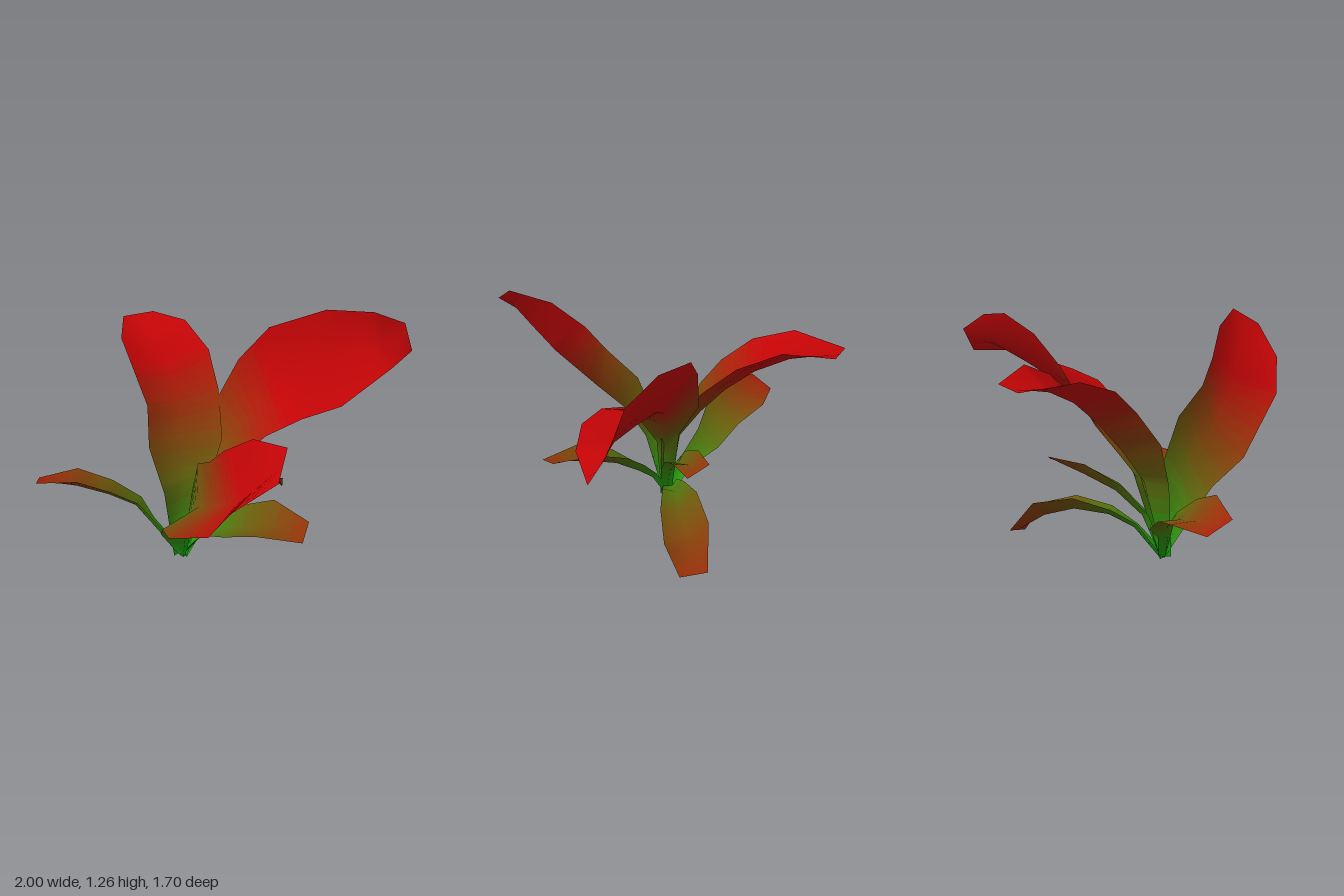
import * as THREE from 'three';

// Shared palette, from green at the root to red at the far tips
const SHADES = 40;
const REACH = 1.12;
const ROOT = new THREE.Vector3(-0.19, 0, 0.07);
const mix = (a, b, t) => (a + (b - a) * t) / 255;
const palette = Array.from({ length: SHADES }, (_, i) => {
  const t = i / (SHADES - 1);
  const color = new THREE.Color().setRGB(
    mix(16, 196, t), mix(172, 4, t), mix(16, 6, t), THREE.SRGBColorSpace);
  return new THREE.MeshStandardMaterial({ color, side: THREE.DoubleSide });
});

const SUB = 5; // colour bands between two stations

// Point at parameter t along a polyline of stations
function along(points, t) {
  const i = Math.min(Math.floor(t), points.length - 2);
  return points[i].clone().lerp(points[i + 1], t - i);
}

// A leaf spans two edges, root to tip, and folds in a V along its midrib.
// Left and right are taken looking outwards from the root.
function leaf(name, fold, leftEdge, rightEdge) {
  const left = leftEdge.map((p) => new THREE.Vector3(...p));
  const right = rightEdge.map((p) => new THREE.Vector3(...p));
  const last = left.length - 1;
  // The midrib lies below the middle of the edges, deep at the root, flat at the tip
  const midrib = left.map((l, i) => {
    const a = Math.max(i - 1, 0), b = Math.min(i + 1, last);
    const run = left[b].clone().add(right[b]).sub(left[a]).sub(right[a]);
    const across = right[i].clone().sub(l);
    const ratio = i === 0 ? 0.5 : i === last ? 0 : fold;
    const depth = ratio * across.length();
    const rib = l.clone().lerp(right[i], 0.5);
    rib.addScaledVector(across.cross(run).normalize(), -depth);
    rib.y = Math.max(rib.y, 0);
    return rib;
  });

  const positions = [], index = [];
  const rows = last * SUB;
  const geometry = new THREE.BufferGeometry();
  for (let r = 0; r <= rows; r++) {
    for (const line of [left, midrib, right]) positions.push(...along(line, r / SUB));
    if (r === rows) break;
    // Shade of this band by its distance from the root
    const d = along(midrib, (r + 0.5) / SUB).distanceTo(ROOT) / REACH;
    geometry.addGroup(index.length, 12, Math.round(Math.min(1, d) * (SHADES - 1)));
    for (let c = 0; c < 2; c++) {
      const a = r * 3 + c, b = a + 3;
      index.push(a, a + 1, b, a + 1, b + 1, b);
    }
  }
  geometry.setAttribute('position', new THREE.Float32BufferAttribute(positions, 3));
  geometry.setIndex(index);
  geometry.computeVertexNormals();
  const mesh = new THREE.Mesh(geometry, palette);
  mesh.name = name;
  return mesh;
}

export function createModel() {
  const plant = new THREE.Group();
  plant.name = 'leafyPlant';

  // Three tall leaves
  plant.add(leaf('tallLeafBackLeft', 0.25,
    [[-0.21, 0.01, 0.06], [-0.14, 0.5, -0.08], [-0.1, 0.75, -0.27], [0.05, 1.04, -0.42],
      [0.2, 1.19, -0.53], [0.5, 1.26, -0.65], [0.76, 1.22, -0.74], [0.94, 1.11, -0.85]],
    [[-0.17, 0.01, 0.1], [-0.08, 0.42, 0.04], [0.08, 0.64, 0.01], [0.25, 0.79, -0.07],
      [0.43, 0.87, -0.14], [0.63, 0.9, -0.25], [0.88, 0.98, -0.55], [0.995, 0.97, -0.79]]));
  plant.add(leaf('tallLeafBackRight', 0.24,
    [[-0.23, 0.03, 0.11], [-0.28, 0.45, 0.08], [-0.37, 0.7, 0.01], [-0.4, 0.88, -0.12],
      [-0.5, 1.02, -0.25], [-0.61, 1.1, -0.44], [-0.67, 1.08, -0.73]],
    [[-0.16, 0.03, 0.09], [-0.05, 0.48, -0.03], [0, 0.68, -0.17], [-0.05, 0.88, -0.35],
      [-0.13, 1.04, -0.5], [-0.29, 1.13, -0.65], [-0.51, 1.09, -0.8]]));
  plant.add(leaf('tallLeafFront', 0.27,
    [[-0.16, 0.02, 0.06], [-0.12, 0.52, 0.09], [-0.07, 0.76, 0.19], [0.02, 0.9, 0.35],
      [0.1, 1.03, 0.43], [0.25, 1.18, 0.52], [0.42, 1.25, 0.66]],
    [[-0.22, 0.03, 0.08], [-0.28, 0.26, 0.2], [-0.24, 0.41, 0.33], [-0.16, 0.53, 0.53],
      [0.09, 0.81, 0.81], [0.2, 1.0, 0.85], [0.4, 1.16, 0.81]]));

  // Four short outer leaves
  plant.add(leaf('shortLeafRight', 0.22,
    [[-0.17, 0.03, 0.1], [-0.3, 0.2, 0.09], [-0.43, 0.36, 0.08], [-0.56, 0.47, 0.14],
      [-0.74, 0.55, 0.18], [-0.97, 0.51, 0.18]],
    [[-0.19, 0.03, 0.05], [-0.36, 0.2, 0.0], [-0.45, 0.29, -0.07], [-0.61, 0.39, -0.07],
      [-0.81, 0.45, -0.07], [-1, 0.45, 0.05]]));
  plant.add(leaf('shortLeafLeft', 0.24,
    [[-0.2, 0.03, 0.05], [-0.08, 0.21, 0.04], [0.02, 0.31, 0.03], [0.13, 0.39, 0.04],
      [0.32, 0.47, 0.06], [0.52, 0.44, 0.18]],
    [[-0.2, 0.03, 0.1], [-0.11, 0.16, 0.11], [-0.05, 0.23, 0.14], [0.07, 0.33, 0.25],
      [0.25, 0.41, 0.31], [0.5, 0.4, 0.31]]));
  plant.add(leaf('shortLeafBackUpper', 0.3,
    [[-0.22, 0.03, 0.08], [-0.17, 0.25, 0], [-0.13, 0.42, -0.14], [-0.06, 0.53, -0.32], [0.03, 0.56, -0.5]],
    [[-0.16, 0.03, 0.1], [-0.08, 0.26, 0], [0, 0.39, -0.12], [0.07, 0.47, -0.27], [0.15, 0.51, -0.47]]));
  plant.add(leaf('shortLeafBackLower', 0.3,
    [[-0.21, 0.02, 0.07], [-0.14, 0.2, -0.06], [-0.08, 0.27, -0.19], [0, 0.325, -0.38],
      [0.1, 0.28, -0.58], [0.21, 0.09, -0.7]],
    [[-0.16, 0.02, 0.1], [-0.07, 0.17, -0.03], [0.04, 0.25, -0.15], [0.2, 0.27, -0.32],
      [0.32, 0.2, -0.49], [0.31, 0.05, -0.6]]));

  return plant;
}
